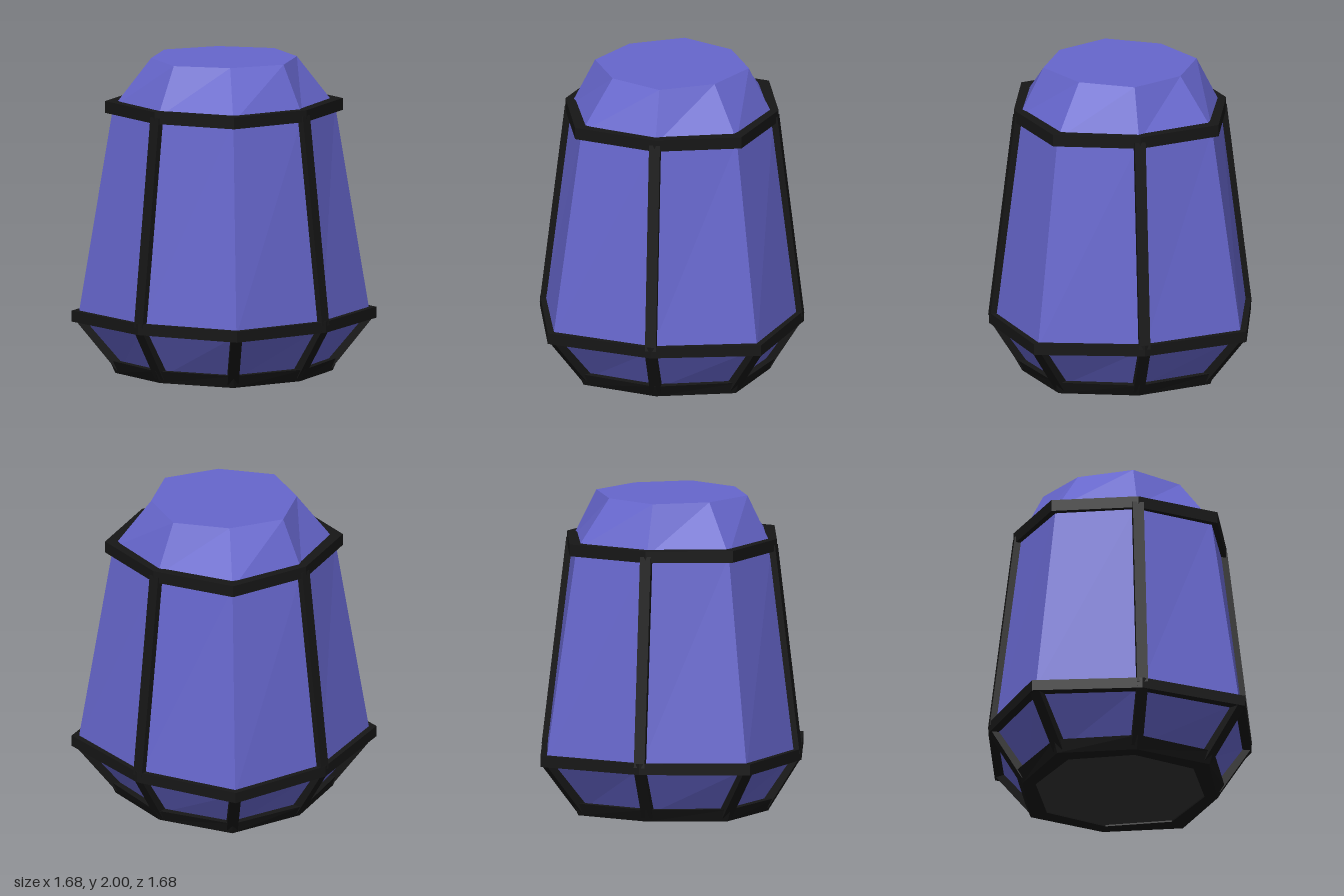
import * as THREE from 'three';

const mat = (color) => new THREE.MeshStandardMaterial({ color, flatShading: true });

// Corner k of the eight-sided plan: even corners lie on the axes, odd ones on the diagonals.
function corner([axis, diag, y], k) {
  const a = (k % 8) * Math.PI / 4;
  const r = k % 2 ? diag * Math.SQRT2 : axis;
  return new THREE.Vector3(Math.sin(a) * r, y, Math.cos(a) * r);
}

// Lofts a profile of [axis radius, diagonal half-width, y] rows around the plan.
function loft(name, rows, material) {
  const pos = [];
  const tri = (...pts) => pts.forEach((p) => pos.push(p.x, p.y, p.z));
  for (let i = 0; i < rows.length - 1; i++) {
    const lo = rows[i], hi = rows[i + 1];
    for (let k = 0; k < 8; k++) {
      const a = corner(lo, k), b = corner(lo, k + 1);
      const c = corner(hi, k + 1), d = corner(hi, k);
      if (lo[0] > 0) tri(a, b, c);
      if (hi[0] > 0) tri(a, c, d);
    }
  }
  const geo = new THREE.BufferGeometry();
  geo.setAttribute('position', new THREE.Float32BufferAttribute(pos, 3));
  geo.computeVertexNormals();
  const mesh = new THREE.Mesh(geo, material);
  mesh.name = name;
  return mesh;
}

// Square-cut bar along corner k, from row lo to row hi, its depth facing outward.
function bar(name, lo, hi, k, width, depth, material) {
  const a = corner(lo, k), b = corner(hi, k);
  const up = b.clone().sub(a);
  const length = up.length();
  up.normalize();
  const angle = k * Math.PI / 4;
  const side = new THREE.Vector3(Math.cos(angle), 0, -Math.sin(angle));
  const out = side.clone().cross(up);
  const mesh = new THREE.Mesh(new THREE.BoxGeometry(width, length, depth), material);
  mesh.quaternion.setFromRotationMatrix(new THREE.Matrix4().makeBasis(side, up, out));
  mesh.position.copy(a).add(b).multiplyScalar(0.5);
  mesh.name = name;
  return mesh;
}

export function createModel() {
  const group = new THREE.Group();
  const glass = mat(0x6666cc), frame = mat(0x161616), under = mat(0x333333);

  // Faceted glass body, flaring to the lower band and narrowing to a flat top
  group.add(loft('glassBody', [
    [0, 0, 0.04], [0.59, 0.455, 0.04], [0.81, 0.65, 0.365],
    [0.645, 0.495, 1.69], [0.49, 0.325, 2], [0, 0, 2],
  ], glass));

  // Horizontal bands
  group.add(loft('topBand', [
    [0.68, 0.53, 1.655], [0.68, 0.53, 1.73], [0.61, 0.455, 1.73],
    [0.61, 0.455, 1.655], [0.68, 0.53, 1.655],
  ], frame));
  group.add(loft('middleBand', [
    [0.84, 0.68, 0.33], [0.84, 0.68, 0.4], [0.76, 0.6, 0.4],
    [0.76, 0.6, 0.33], [0.84, 0.68, 0.33],
  ], frame));
  group.add(loft('baseBand', [
    [0.625, 0.485, 0], [0.67, 0.51, 0.08], [0.54, 0.4, 0.08],
    [0.54, 0.4, 0], [0.625, 0.485, 0],
  ], frame));

  // Underside plate
  group.add(loft('basePlate', [[0, 0, 0.01], [0.58, 0.44, 0.01], [0.58, 0.44, 0.03]], under));

  // Long uprights on the four axes, short slanted bars on all eight corners
  for (let k = 0; k < 8; k++) {
    if (k % 2 === 0) {
      group.add(bar('upright', [0.805, 0.645, 0.37], [0.645, 0.49, 1.69], k, 0.07, 0.065, frame));
    }
    group.add(bar('lowerBar', [0.605, 0.462, 0.04], [0.805, 0.645, 0.36], k, 0.07, 0.065, frame));
  }
  return group;
}
